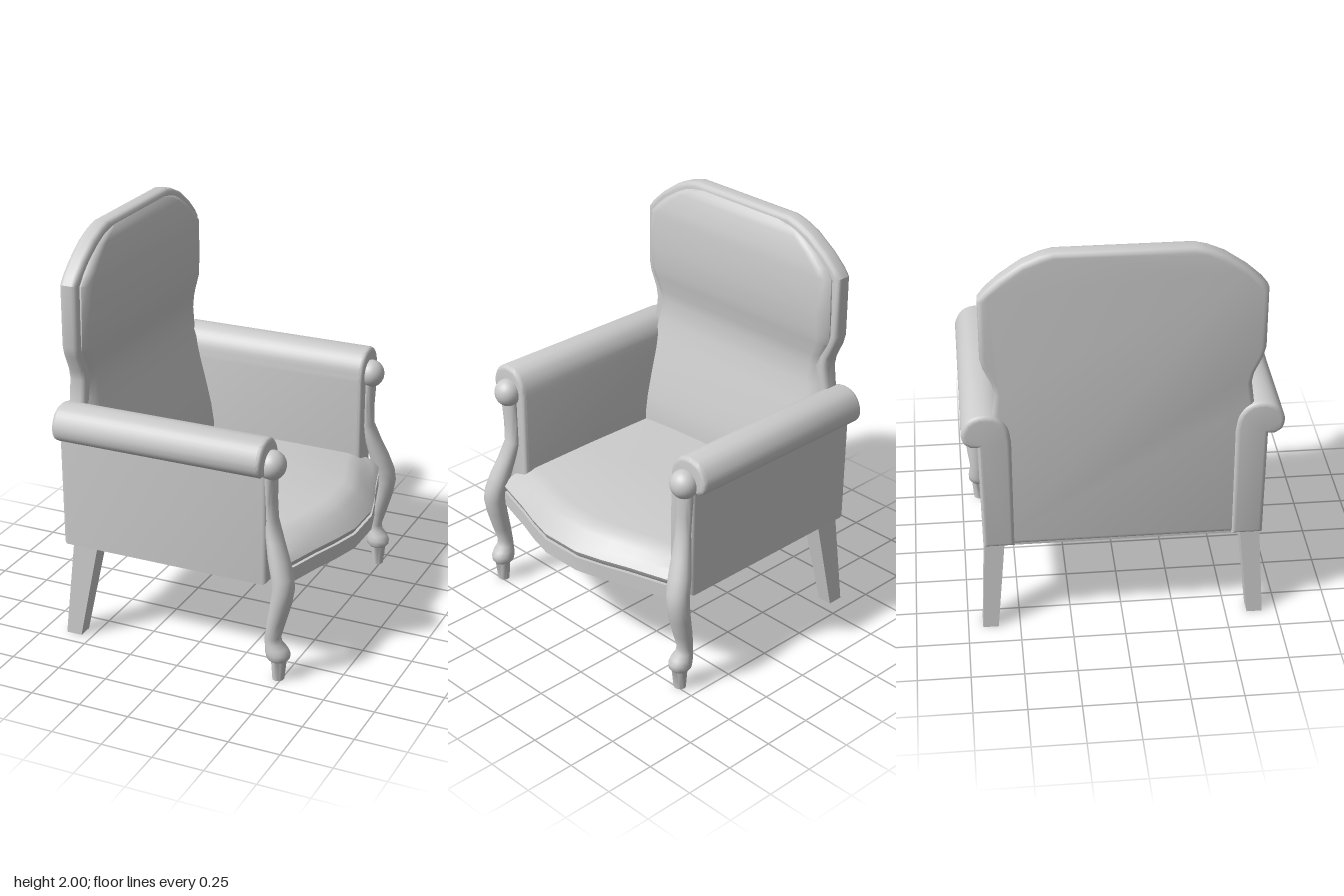
import * as THREE from 'three';
import { toCreasedNormals, mergeVertices } from 'three/addons/utils/BufferGeometryUtils.js';

const material = new THREE.MeshStandardMaterial({ color: 0xcccccc });

function add(parent, name, geometry, crease = 0.6) {
  const mesh = new THREE.Mesh(toCreasedNormals(geometry, crease), material);
  mesh.name = name;
  parent.add(mesh);
  return mesh;
}

// Closed skin over rings of [x, y, z] points, capped at both ends, facing outward
function loft(rings) {
  const n = rings[0].length, pos = rings.flat(2), idx = [];
  const tri = (a, b, c) => idx.push(a, b, c);
  for (let r = 0; r < rings.length - 1; r++)
    for (let i = 0; i < n; i++) {
      const a = r * n + i, b = r * n + (i + 1) % n;
      tri(a, b, a + n);
      tri(b, b + n, a + n);
    }
  const last = (rings.length - 1) * n;
  for (let i = 1; i < n - 1; i++) {
    tri(0, i + 1, i);
    tri(last, last + i, last + i + 1);
  }
  // Signed volume decides whether the winding must be reversed
  const v = i => new THREE.Vector3().fromArray(pos, i * 3);
  let volume = 0;
  for (let i = 0; i < idx.length; i += 3)
    volume += v(idx[i]).dot(v(idx[i + 1]).cross(v(idx[i + 2])));
  if (volume < 0) idx.reverse();
  const g = new THREE.BufferGeometry();
  g.setAttribute('position', new THREE.Float32BufferAttribute(pos, 3));
  g.setIndex(idx);
  return mergeVertices(g);
}

// Extrudes a [z, y] outline along x, with rounded ends
function extrudeX(points, x0, x1, bevel, segments) {
  const shape = new THREE.Shape(points.map(([z, y]) => new THREE.Vector2(-z, y)));
  const g = new THREE.ExtrudeGeometry(shape, {
    depth: x1 - x0 - 2 * bevel, bevelThickness: bevel, bevelSize: bevel,
    bevelOffset: -bevel, bevelSegments: segments,
  });
  g.rotateY(Math.PI / 2);
  return g.translate(x0 + bevel, 0, 0);
}

// Linear interpolation in a table of [key, value]
function lookup(table, k) {
  for (let i = 1; i < table.length; i++) {
    const [a, va] = table[i - 1], [b, vb] = table[i];
    if (k <= b) return va + (vb - va) * Math.max(0, (k - a) / (b - a));
  }
  return table[table.length - 1][1];
}

// Half width of the back by height
const backOutline = [
  [0.475, 0.61], [1.15, 0.61], [1.2, 0.598], [1.3, 0.585], [1.35, 0.595], [1.43, 0.632],
  [1.48, 0.645], [1.78, 0.645], [1.82, 0.615], [1.88, 0.55], [1.95, 0.45], [1.985, 0.37], [2.0, 0.31],
];

function buildBack(chair) {
  const right = backOutline.map(([y, w]) => [w, y]);
  const left = backOutline.map(([y, w]) => [-w, y]).reverse();
  add(chair, 'backFrame', extrudeX([...right, ...left], -0.628, -0.54, 0.024, 3));

  // Padded panel whose front swells forward at the lumbar
  const front = [[0.5, -0.4], [0.7, -0.4], [0.8, -0.415], [0.95, -0.45], [1.1, -0.49], [1.2, -0.515],
    [1.3, -0.53], [1.4, -0.52], [1.5, -0.502], [1.78, -0.502], [1.9, -0.515], [1.95, -0.525], [1.98, -0.545]];
  const heights = [0.5, 0.7, 0.8, 0.9, 1.0, 1.1, 1.2, 1.3, 1.36, 1.43, 1.48, 1.6, 1.77, 1.82, 1.87, 1.92, 1.95, 1.98];
  add(chair, 'backPanel', loft(heights.map(y => {
    const w = lookup(backOutline, y + 0.015) - 0.035, f = lookup(front, y);
    const half = [[f, w - 0.06], [f - 0.008, w - 0.025], [f - 0.03, w], [-0.58, w]];
    return [...half.map(([x, z]) => [x, y, z]), ...half.reverse().map(([x, z]) => [x, y, -z])];
  })), 0.8);
}

// Front edge of the seat by distance from the centre line
const seatFront = [[0, 0.643], [0.11, 0.643], [0.25, 0.605], [0.38, 0.56], [0.5, 0.525], [0.6, 0.495]];

function buildSeat(chair) {
  const zs = [-0.6, -0.5, -0.38, -0.25, -0.11, 0, 0.11, 0.25, 0.38, 0.5, 0.6];
  // Rail, an open frame below with a recessed bottom board
  const outline = inset => {
    const pts = zs.map(z => new THREE.Vector2(lookup(seatFront, Math.abs(z)) - inset, z * (1 - inset / 0.6)));
    const w = 0.6 - inset;
    return [new THREE.Vector2(-0.615 + inset, -w), ...pts, new THREE.Vector2(-0.615 + inset, w)];
  };
  const slab = (points, hole, y, depth) => {
    const shape = new THREE.Shape(points);
    if (hole) shape.holes.push(new THREE.Path(hole));
    const g = new THREE.ExtrudeGeometry(shape, { depth, bevelEnabled: false });
    return g.rotateX(-Math.PI / 2).translate(0, y, 0);
  };
  add(chair, 'seatRail', slab(outline(0), outline(0.035), 0.465, 0.073));
  add(chair, 'seatBottom', slab(outline(0.03), null, 0.48, 0.04));

  // Crowned cushion with a rolled front edge
  add(chair, 'seatCushion', loft(zs.map(z => {
    const x = lookup(seatFront, Math.abs(z));
    const t = 0.685 - 0.035 * (z / 0.6) ** 2;
    return [[-0.55, 0.53], [x - 0.025, 0.53], [x - 0.01, 0.545], [x, 0.57], [x - 0.03, 0.605],
      [x - 0.075, t - 0.035], [x - 0.11, t - 0.012], [x - 0.16, t], [0, t + 0.004], [-0.55, t]].map(([a, b]) => [a, b, z]);
  })), 0.7);
}

function buildSide(chair, s) {
  const side = s > 0 ? 'left' : 'right';

  // Upholstered arm: flat panel flowing into an outward roll
  const roll = new THREE.CatmullRomCurve3([[0.515, 1.05], [0.53, 1.13], [0.575, 1.185], [0.64, 1.2], [0.705, 1.178],
    [0.743, 1.11], [0.733, 1.055], [0.7, 1.03]].map(([z, y]) => new THREE.Vector3(z, y, 0)));
  const arm = [[0.662, 0.475], [0.515, 0.475], ...roll.getPoints(28).map(p => [p.x, p.y]), [0.668, 1.03]];
  add(chair, side + 'Arm', extrudeX(arm.map(([z, y]) => [s * z, y]), -0.643, 0.42, 0.02, 3), 0.7);

  // Knob ending the arm roll
  const knob = new THREE.SphereGeometry(0.07, 24, 16);
  knob.scale(0.95, 1, 1).translate(0.43, 1.07, s * 0.622);
  add(chair, side + 'ArmKnob', knob);

  // Curved front leg and arm post: y, x, z, x radius, z radius
  const sections = [
    [0, 0.483, 0.655, 0.028, 0.031], [0.1, 0.485, 0.655, 0.037, 0.04], [0.103, 0.483, 0.655, 0.045, 0.045],
    [0.115, 0.482, 0.655, 0.056, 0.054], [0.14, 0.479, 0.656, 0.06, 0.055], [0.165, 0.472, 0.658, 0.053, 0.051],
    [0.19, 0.46, 0.66, 0.042, 0.042], [0.22, 0.457, 0.662, 0.038, 0.04], [0.3, 0.475, 0.665, 0.044, 0.049],
    [0.4, 0.498, 0.667, 0.05, 0.056], [0.48, 0.51, 0.667, 0.052, 0.059], [0.54, 0.502, 0.66, 0.054, 0.059],
    [0.62, 0.477, 0.647, 0.05, 0.057], [0.7, 0.452, 0.63, 0.042, 0.05], [0.8, 0.424, 0.612, 0.032, 0.045],
    [0.9, 0.423, 0.615, 0.028, 0.046], [1.0, 0.425, 0.62, 0.03, 0.05], [1.07, 0.425, 0.622, 0.03, 0.05],
  ];
  add(chair, side + 'FrontLeg', loft(sections.map(([y, x, z, rx, rz]) =>
    Array.from({ length: 20 }, (_, i) => {
      const a = i / 20 * Math.PI * 2;
      return [x + rx * Math.cos(a), y, s * (z + rz * Math.sin(a))];
    }))), 0.8);

  // Square tapered back leg, raked backwards
  const square = (y, x0, x1, z0, z1) => [[x0, y, s * z0], [x1, y, s * z0], [x1, y, s * z1], [x0, y, s * z1]];
  add(chair, side + 'BackLeg', loft([
    square(0, -0.635, -0.555, 0.605, 0.68),
    square(0.48, -0.592, -0.465, 0.56, 0.655),
  ]), 0.3);
}

export function createModel() {
  const chair = new THREE.Group();
  chair.name = 'armchair';
  buildBack(chair);
  buildSeat(chair);
  for (const s of [1, -1]) buildSide(chair, s);
  return chair;
}
